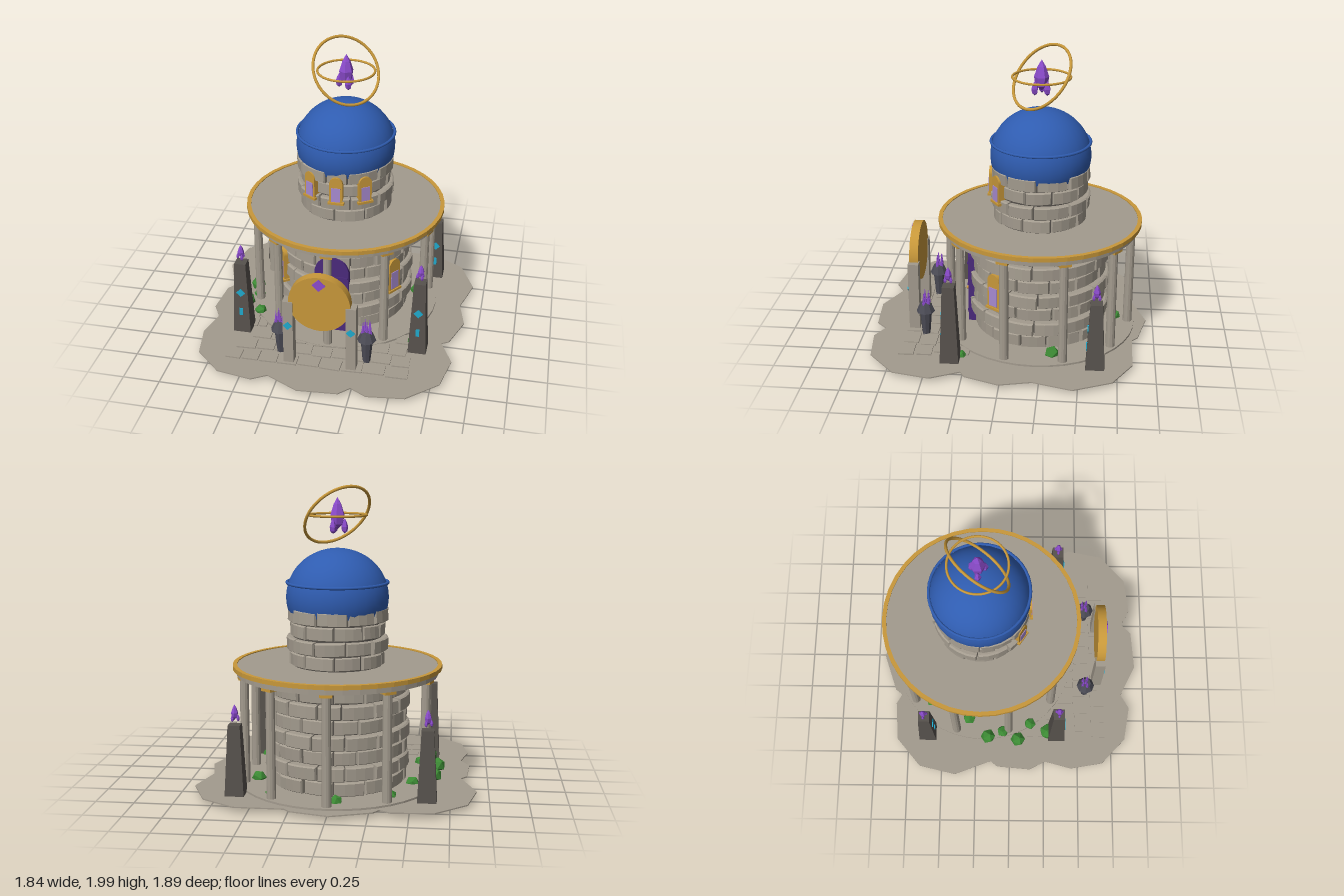
import * as THREE from 'three';

const mat = (name, color, flat = false) => {
  const m = new THREE.MeshStandardMaterial({ color, flatShading: flat });
  m.name = name;
  return m;
};

export function createModel() {
  const stone = mat('stone', 0xa39b8e, true), dark = mat('dark stone', 0x57524d, true);
  const slate = mat('slate', 0x4b4b55, true), gold = mat('gold', 0xc8983a);
  const blue = mat('dome blue', 0x2f5cb0), violet = mat('door violet', 0x4b2a7c);
  const crystalMat = mat('crystal purple', 0x8b4bcc, true), glass = mat('lilac glass', 0xa78ad0);
  const cyan = mat('cyan', 0x1fa9cc), green = mat('leaf green', 0x3c8a34, true);

  const model = new THREE.Group();
  model.name = 'observatoryTower';
  let seed = 7;
  const rnd = () => (seed = (seed * 16807) % 2147483647) / 2147483647;
  const jit = (a) => (rnd() - 0.5) * 2 * a;

  const add = (parent, name, geo, material, x = 0, y = 0, z = 0) => {
    const m = new THREE.Mesh(geo, material);
    m.name = name;
    m.position.set(x, y, z);
    parent.add(m);
    return m;
  };
  const group = (parent, name, x = 0, y = 0, z = 0, ry = 0) => {
    const g = new THREE.Group();
    g.name = name;
    g.position.set(x, y, z);
    g.rotation.y = ry;
    parent.add(g);
    return g;
  };
  const cyl = (rt, rb, h, n = 32) => new THREE.CylinderGeometry(rt, rb, h, n);
  const box = (w, h, d) => new THREE.BoxGeometry(w, h, d);

  // Scalloped ground plate
  const outline = [-0.39, -0.85, -0.66, -0.83, -0.86, -0.66, -0.92, -0.4, -0.82, -0.14, -0.86, -0.09,
    -0.88, 0.15, -0.82, 0.26, -0.87, 0.45, -0.83, 0.68, -0.65, 0.85, -0.41, 0.89, -0.31, 0.83,
    -0.09, 0.94, 0.18, 0.92, 0.25, 0.85, 0.36, 0.91, 0.61, 0.88, 0.81, 0.7, 0.86, 0.45, 0.77, 0.26,
    0.82, 0.23, 0.9, 0, 0.85, -0.21, 0.92, -0.47, 0.81, -0.72, 0.59, -0.85, 0.27, -0.85,
    0.23, -0.89, -0.02, -0.95, -0.28, -0.86, -0.32, -0.81];
  const pts = [];
  for (let i = 0; i < outline.length; i += 2) pts.push(new THREE.Vector2(outline[i], -outline[i + 1]));
  const plate = new THREE.ExtrudeGeometry(new THREE.Shape(pts), { depth: 0.008, bevelEnabled: false });
  add(model, 'ground', plate.rotateX(-Math.PI / 2), stone, 0, 0.035, 0);

  // Paving stones in front
  const paving = group(model, 'paving');
  [[0.645, -0.64, 0.62], [0.525, -0.6, 0.63], [0.41, -0.52, 0.56], [0.28, -0.64, -0.45], [0.28, 0.46, 0.62],
    [0.17, -0.64, -0.52]].forEach(([z, x0, x1]) => {
    for (let x = x0; x < x1 - 0.05;) {
      const w = Math.min(0.11 + rnd() * 0.05, x1 - x);
      const s = add(paving, 'pavingStone', box(w - 0.01, 0.014, 0.1), stone, x + w / 2, 0.046, z + jit(0.01));
      s.rotation.y = jit(0.05);
      x += w;
    }
  });

  // Tower, standing behind the middle
  const tower = group(model, 'tower', 0.007, 0, -0.2);
  add(tower, 'floor', cyl(0.665, 0.665, 0.014, 40), stone, 0, 0.049, 0);
  add(tower, 'lowerCore', cyl(0.43, 0.4, 0.73), dark, 0, 0.398, 0);
  add(tower, 'upperCore', cyl(0.295, 0.295, 0.4), dark, 0, 1.02, 0);

  // A curved block with a chamfered, slightly uneven outer face
  const brick = (a0, a1, y0, y1, r0, r1) => {
    const g = new THREE.BoxGeometry(1, 1, 1, 3, 1, 2);
    const p = g.attributes.position;
    const lean = jit(0.008), tilt = jit(0.006);
    for (let i = 0; i < p.count; i++) {
      const u = p.getX(i), v = p.getY(i), w = p.getZ(i);
      const k = w > 0.4 ? 0.92 : 1;
      const a = (a0 + a1) / 2 + u * k * (a1 - a0);
      const y = (y0 + y1) / 2 + v * (w > 0.4 ? 0.84 : 1) * (y1 - y0) + u * tilt;
      const r = (w < -0.4 ? r0 : w > 0.4 ? r1 : r1 - 0.012) + (w > -0.4 ? u * lean + v * tilt : 0);
      p.setXYZ(i, Math.sin(a) * r, y, Math.cos(a) * r);
    }
    g.computeVertexNormals();
    return g;
  };
  const courses = (name, y0, y1, rows, count, rIn, rOut) => {
    const wall = group(tower, name);
    const h = (y1 - y0) / rows;
    for (let j = 0; j < rows; j++) {
      const edges = [];
      for (let i = 0; i < count; i++) edges.push((i + (j % 2) / 2 + jit(0.15)) * Math.PI * 2 / count);
      edges.push(edges[0] + Math.PI * 2);
      for (let i = 0; i < count; i++) {
        const r = rOut + (j % 2 ? 0.008 : -0.01) + jit(0.007), gap = 0.004 / rOut;
        add(wall, 'brick', brick(edges[i] + gap, edges[i + 1] - gap,
          y0 + j * h + 0.004, y0 + (j + 1) * h - 0.004, rIn, r), stone);
      }
    }
  };
  courses('lowerWall', 0.055, 0.755, 7, 14, 0.41, 0.468);
  courses('upperWall', 0.83, 1.215, 4, 10, 0.27, 0.322);

  // Round roof terrace with a gold rim
  add(tower, 'terrace', cyl(0.665, 0.665, 0.06, 40), stone, 0, 0.8, 0);
  const rim = [[0.662, 0.808], [0.69, 0.808], [0.69, 0.836], [0.662, 0.836], [0.662, 0.808]]
    .map(([x, y]) => new THREE.Vector2(x, y));
  const rimMat = mat('gold', 0xc8983a, true);
  add(tower, 'terraceRim', new THREE.LatheGeometry(rim, 40), rimMat);

  // Ring of ten columns
  for (let k = 0; k < 10; k++) {
    const c = group(tower, 'column', 0, 0, 0, k * Math.PI / 5);
    add(c, 'columnShaft', cyl(0.029, 0.031, 0.7, 12), stone, 0, 0.4, 0.62);
    add(c, 'columnCapital', box(0.08, 0.022, 0.08), rimMat, 0, 0.762, 0.62);
  }

  // Arched panels: windows and door
  const arch = (w, h, d) => {
    const s = new THREE.Shape();
    s.moveTo(-w / 2, 0);
    s.lineTo(w / 2, 0);
    s.lineTo(w / 2, h - w / 2);
    s.absarc(0, h - w / 2, w / 2, 0, Math.PI, false);
    s.closePath();
    return new THREE.ExtrudeGeometry(s, { depth: d, bevelEnabled: false, curveSegments: 10 });
  };
  const windowAt = (angle, r, y, h, w) => {
    const g = group(tower, 'window', 0, 0, 0, angle);
    add(g, 'windowFrame', arch(w, h, 0.06), rimMat, 0, y, r - 0.06);
    add(g, 'windowPane', box(w * 0.68, h * 0.52, 0.006), glass, 0, y + h * 0.36, r + 0.002);
    add(g, 'windowSill', box(w + 0.02, 0.016, 0.05), rimMat, 0, y + 0.008, r - 0.015);
  };
  for (const s of [-1, 0, 1]) windowAt(s * 0.59, 0.342, 0.985, 0.195, 0.09);
  for (const s of [-1, 1]) windowAt(s * 0.96, 0.49, 0.31, 0.255, 0.1);
  add(tower, 'door', arch(0.235, 0.585, 0.06), violet, 0, 0.065, 0.425);
  for (const y of [0.14, 0.34, 0.5]) add(tower, 'doorBand', box(0.225, 0.012, 0.008), violet, 0, y, 0.487);
  add(tower, 'doorKnob', new THREE.SphereGeometry(0.011, 10, 8), gold, 0.075, 0.3, 0.492);

  // Dome with its band
  const dome = add(tower, 'dome', new THREE.SphereGeometry(0.336, 28, 20, 0, Math.PI * 2, 0, 1.92), blue, 0, 1.275, 0);
  dome.scale.y = 0.94;
  add(tower, 'domeBand', new THREE.TorusGeometry(0.33, 0.01, 8, 40).rotateX(Math.PI / 2), blue, 0, 1.37, 0);

  // Crystal cluster: a long gem with three shards at its foot, total height h
  const gem = (r, h, n) => new THREE.LatheGeometry([[0, 0], [r * 0.8, h * 0.16], [r, h * 0.45], [r * 0.55, h * 0.78], [0, h]]
    .map(([x, y]) => new THREE.Vector2(x, y)), n);
  const crystal = (parent, x, y, z, h) => {
    const g = group(parent, 'crystal', x, y, z);
    add(g, 'crystalCore', gem(h * 0.21, h * 0.88, 6), crystalMat, 0, h * 0.12, 0);
    for (let i = 0; i < 3; i++) {
      const a = 0.5 + i * Math.PI * 2 / 3;
      add(g, 'crystalShard', gem(h * 0.1, h * 0.42, 5), crystalMat, Math.sin(a) * h * 0.2, 0, Math.cos(a) * h * 0.2);
    }
  };
  crystal(tower, 0, 1.685, 0, 0.235);

  // Floating orbit rings
  add(tower, 'levelRing', new THREE.TorusGeometry(0.19, 0.008, 8, 48).rotateX(Math.PI / 2), gold, 0, 1.805, 0);
  const tilted = add(tower, 'tiltedRing', new THREE.TorusGeometry(0.236, 0.01, 8, 48), gold, 0, 1.805, 0);
  tilted.quaternion.setFromUnitVectors(new THREE.Vector3(0, 0, 1), new THREE.Vector3(0.53, 0.61, 0.59).normalize());

  // Front gate: gold disc between two posts
  const gate = group(model, 'gate', 0.007, 0, 0.645);
  const diamond = (parent, material, x, y, z, s) =>
    (add(parent, 'diamond', box(s, s, 0.008), material, x, y, z).rotation.z = Math.PI / 4);
  add(gate, 'gateDisc', cyl(0.205, 0.205, 0.06, 36).rotateX(Math.PI / 2), gold, 0, 0.54, 0);
  diamond(gate, crystalMat, 0, 0.69, 0.034, 0.062);
  for (const s of [-1, 1]) {
    add(gate, 'gatePost', box(0.068, 0.495, 0.072), stone, s * 0.21, 0.288, 0);
    diamond(gate, cyan, s * 0.21, 0.35, 0.039, 0.042);
  }

  // Four obelisks, the rear pair shorter
  for (const [z, k] of [[0.345, 1], [-0.605, 0.85]]) for (const s of [-1, 1]) {
    const o = group(model, 'obelisk', 0.007 + s * 0.612, 0.035, z);
    const h = 0.55 * k;
    add(o, 'obeliskShaft', cyl(0.055, 0.088, h, 4).rotateY(Math.PI / 4), dark, 0, h / 2, 0);
    const front = (y) => 0.062 - 0.0235 * y / h + 0.002;
    diamond(o, cyan, 0, 0.325 * k, front(0.325 * k), 0.044);
    add(o, 'rune', box(0.024, 0.055, 0.008), cyan, 0, 0.175 * k, front(0.175 * k));
    crystal(o, 0, h + 0.02, 0, 0.11);
  }

  // Braziers holding purple spikes
  for (const s of [-1, 1]) {
    const b = group(model, 'brazier', 0.007 + s * 0.295, 0, 0.555);
    add(b, 'brazierStand', cyl(0.042, 0.026, 0.18, 8), slate, 0, 0.132, 0);
    add(b, 'brazierBowl', cyl(0.036, 0.064, 0.062, 8), slate, 0, 0.252, 0);
    for (let i = 0; i < 5; i++) {
      const a = i * Math.PI * 2 / 5, r = i ? 0.026 : 0;
      add(b, 'spike', new THREE.ConeGeometry(0.013, 0.1, 5), crystalMat, Math.sin(a) * r, 0.325, Math.cos(a) * r);
    }
  }

  // Shrubs around the tower foot
  [[-0.64, -0.16, 0.055], [-0.6, -0.05, 0.045], [-0.66, 0.06, 0.055], [-0.6, 0.28, 0.06], [-0.54, 0.15, 0.045],
    [-0.04, -0.73, 0.045], [-0.37, -0.58, 0.045], [0.52, -0.32, 0.05], [0.57, 0.28, 0.035], [0.4, -0.6, 0.035]]
    .forEach(([x, z, r]) => {
      const b = add(model, 'shrub', new THREE.IcosahedronGeometry(r, 0), green, x, r + 0.012, z);
      b.rotation.set(rnd() * 3, rnd() * 3, 0);
    });
  add(model, 'shrub', new THREE.IcosahedronGeometry(0.05, 0), green, -0.5, 0.05, -0.3);
  return model;
}
